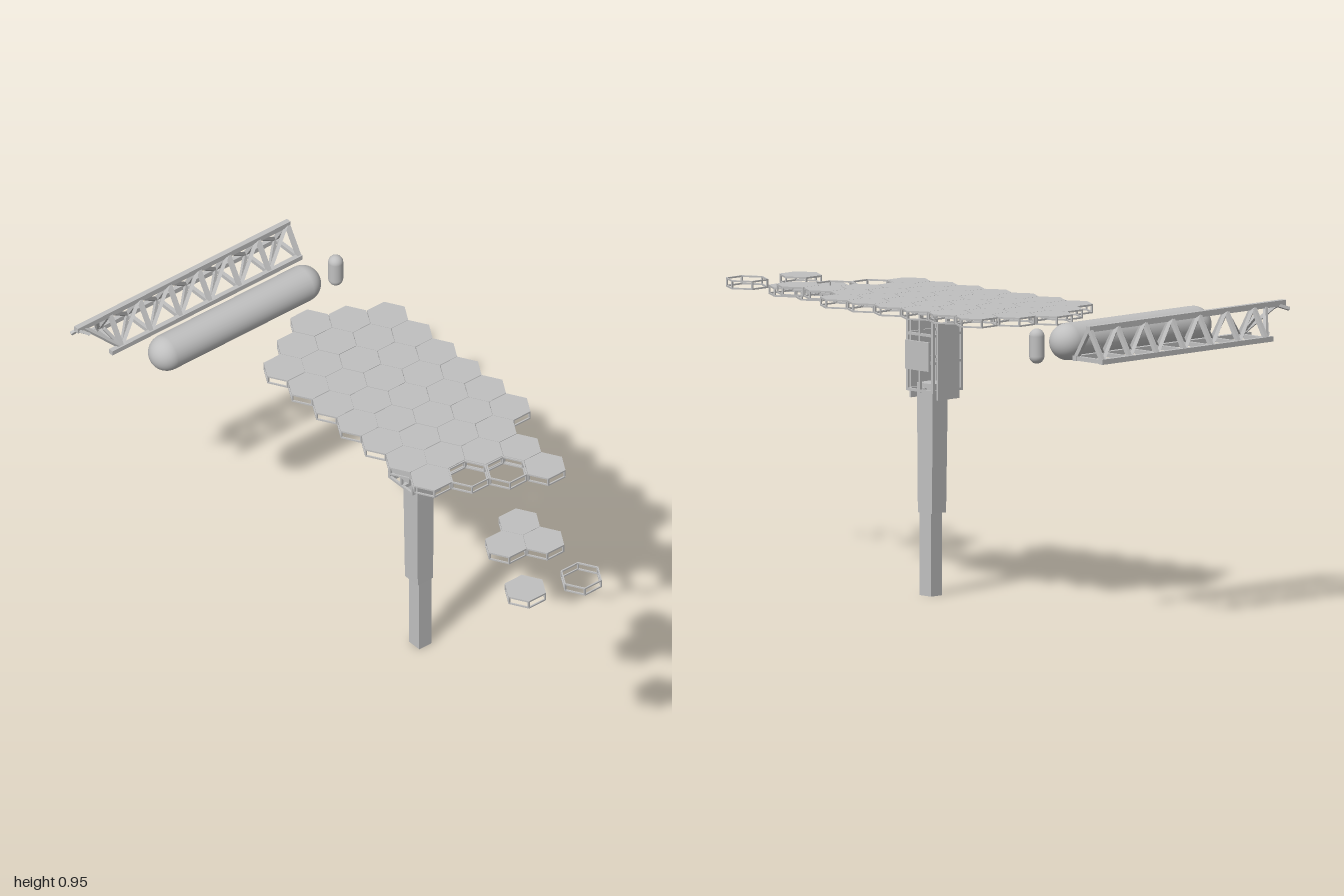
import * as THREE from 'three';
import { mergeGeometries } from 'three/addons/utils/BufferGeometryUtils.js';

const UP = new THREE.Vector3(0, 1, 0);

// Square bar between two points
function bar(a, b, t) {
  const p = new THREE.Vector3(...a), q = new THREE.Vector3(...b);
  const d = q.clone().sub(p);
  const g = new THREE.BoxGeometry(t, d.length(), t);
  g.applyQuaternion(new THREE.Quaternion().setFromUnitVectors(UP, d.normalize()));
  const m = p.add(q).multiplyScalar(0.5);
  return g.translate(m.x, m.y, m.z);
}

function box(x0, x1, y0, y1, z0, z1) {
  return new THREE.BoxGeometry(x1 - x0, y1 - y0, z1 - z0)
    .translate((x0 + x1) / 2, (y0 + y1) / 2, (z0 + z1) / 2);
}

// Hexagon with points toward +x and -x, lying flat, optionally a ring
function hexPlate(r, h, y, hole) {
  const pts = (s) => Array.from({ length: 6 }, (_, i) =>
    new THREE.Vector2(s * Math.cos(i * Math.PI / 3), s * Math.sin(i * Math.PI / 3)));
  const shape = new THREE.Shape(pts(r));
  if (hole) shape.holes.push(new THREE.Path(pts(hole).reverse()));
  return new THREE.ExtrudeGeometry(shape, { depth: h, bevelEnabled: false })
    .rotateX(-Math.PI / 2).translate(0, y, 0);
}

export function createModel() {
  const model = new THREE.Group();
  const grey = new THREE.MeshStandardMaterial({ color: 0xc0c0c0 });
  grey.name = 'lightGrey';

  const add = (name, geometry, parent = model) => {
    const mesh = new THREE.Mesh(geometry, grey);
    mesh.name = name;
    parent.add(mesh);
    return mesh;
  };

  // Hexagonal tiles: open cage with a thin deck on top
  const R = 0.0675, H = 0.028, T = 0.005;
  const cage = [hexPlate(R, T, 0, R - T), hexPlate(R, T, H - T, R - T)];
  for (let i = 0; i < 6; i++) {
    const a = i * Math.PI / 3, r = R - T * 0.65;
    cage.push(bar([r * Math.cos(a), T / 2, r * Math.sin(a)],
      [r * Math.cos(a), H - T / 2, r * Math.sin(a)], T));
  }
  const cageGeo = mergeGeometries(cage.map((g) => (g.index ? g.toNonIndexed() : g)));
  const deckGeo = hexPlate(R, T, H - T + 0.0006);
  const tile = (x, y, z, deck, parent) => {
    const g = new THREE.Group();
    g.name = deck ? 'hexTile' : 'openHexTile';
    g.position.set(x, y, z);
    add('hexFrame', cageGeo, g);
    if (deck) add('hexDeck', deckGeo, g);
    parent.add(g);
  };

  // Main platform: columns of [x, first z, count, last tile has a deck]
  const platform = new THREE.Group();
  platform.name = 'hexPlatform';
  model.add(platform);
  const columns = [
    [-0.05, -0.397, 7, true],
    [0.052, -0.457, 8, false],
    [0.155, -0.517, 9, false],
    [0.258, -0.457, 9, true],
    [0.361, -0.397, 6, true],
  ];
  for (const [x, z, n, lastDeck] of columns) {
    for (let i = 0; i < n; i++) tile(x, 0.898, z + i * 0.1183, i < n - 1 || lastDeck, platform);
  }

  // Loose tiles drifting in front
  const loose = new THREE.Group();
  loose.name = 'looseTiles';
  model.add(loose);
  [[-0.045, 0.669, true], [0.057, 0.61, true], [0.057, 0.728, true],
    [-0.139, 0.878, true], [0.035, 0.937, false]]
    .forEach(([x, z, deck]) => tile(x, 0.851, z, deck, loose));

  // Telescopic mast; the middle section narrows downward
  add('lowerMast', box(0.13, 0.178, 0, 0.3, -0.013, 0.037));
  const mid = box(0.116, 0.182, 0.257, 0.66, -0.024, 0.045);
  const pos = mid.attributes.position;
  for (let i = 0; i < pos.count; i++) {
    if (pos.getY(i) < 0.4) {
      pos.setX(i, 0.15 + (pos.getX(i) - 0.149) * 0.92);
      pos.setZ(i, 0.0115 + (pos.getZ(i) - 0.0105) * 0.9);
    }
  }
  mid.computeVertexNormals();
  add('middleMast', mid);

  // Mast head: open cage with cover plates
  const X = [0.087, 0.148, 0.208], Z = [-0.052, 0.004, 0.058];
  const head = [];
  for (const x of X) {
    for (const z of Z) {
      if (x !== X[1] || z !== Z[1]) head.push(bar([x, 0.637, z], [x, 0.9, z], 0.008));
    }
  }
  for (const y of [0.641, 0.73, 0.815, 0.885]) {
    for (const z of [Z[0], Z[2]]) head.push(bar([X[0], y, z], [X[2], y, z], 0.008));
    for (const x of [X[0], X[2]]) head.push(bar([x, y, Z[0]], [x, y, Z[2]], 0.008));
  }
  head.push(bar([X[1], 0.64, Z[0]], [X[1], 0.64, Z[2]], 0.012));
  head.push(bar([X[0], 0.64, 0.01], [X[2], 0.64, 0.01], 0.012));
  add('headFrame', mergeGeometries(head));
  add('frontPlate', box(0.096, 0.189, 0.612, 0.852, 0.063, 0.071));
  add('backPlate', box(0.106, 0.199, 0.615, 0.855, -0.065, -0.057));
  add('leftPlate', box(0.213, 0.222, 0.705, 0.795, -0.046, 0.056));
  add('rightPlate', box(0.074, 0.083, 0.683, 0.77, -0.046, 0.056));

  // Long tank and small upright tank
  const tank = add('longTank', new THREE.CapsuleGeometry(0.0575, 0.54, 12, 32));
  tank.rotation.z = Math.PI / 2;
  tank.position.set(0.03, 0.876, -0.735);
  const small = add('smallTank', new THREE.CapsuleGeometry(0.0235, 0.062, 10, 24));
  small.position.set(0.424, 0.8735, -0.725);

  // Triangular lattice boom along x
  const B = 0.016, end = 0.398, pitch = 0.1175;
  const top = (x) => [x, 0.944, -0.93];
  const front = (x) => [x, 0.848, -0.871];
  const back = (x) => [x, 0.848, -0.987];
  const boom = [
    bar(top(-0.44), top(end + B / 2), 0.018),
    bar(front(-0.35), front(end + B / 2), B),
    bar(back(-0.33), back(end + B / 2), B),
  ];
  for (let i = 0; i <= 6; i++) {
    const x = end - i * pitch, w = x - pitch;
    boom.push(bar(top(x), front(x), 0.013), bar(top(x), back(x), 0.013),
      bar(front(x), back(x), 0.013));
    if (i < 6) {
      boom.push(bar(top(x), front(w), 0.011), bar(top(w), back(x), 0.011),
        bar(front(w), back(x), 0.011));
    }
  }
  add('latticeBoom', mergeGeometries(boom));

  // Torn struts at the broken end of the boom
  add('tornStruts', mergeGeometries([
    bar(top(-0.415), front(-0.307), 0.011),
    bar(top(-0.36), back(-0.307), 0.011),
    bar([-0.345, 0.915, -0.91], front(-0.307), 0.01),
    bar([-0.448, 0.925, -0.945], [-0.4, 0.942, -0.93], 0.01),
    bar([-0.405, 0.925, -0.905], [-0.44, 0.944, -0.93], 0.009),
    bar([-0.335, 0.865, -0.965], back(-0.307), 0.01),
  ]));

  return model;
}
